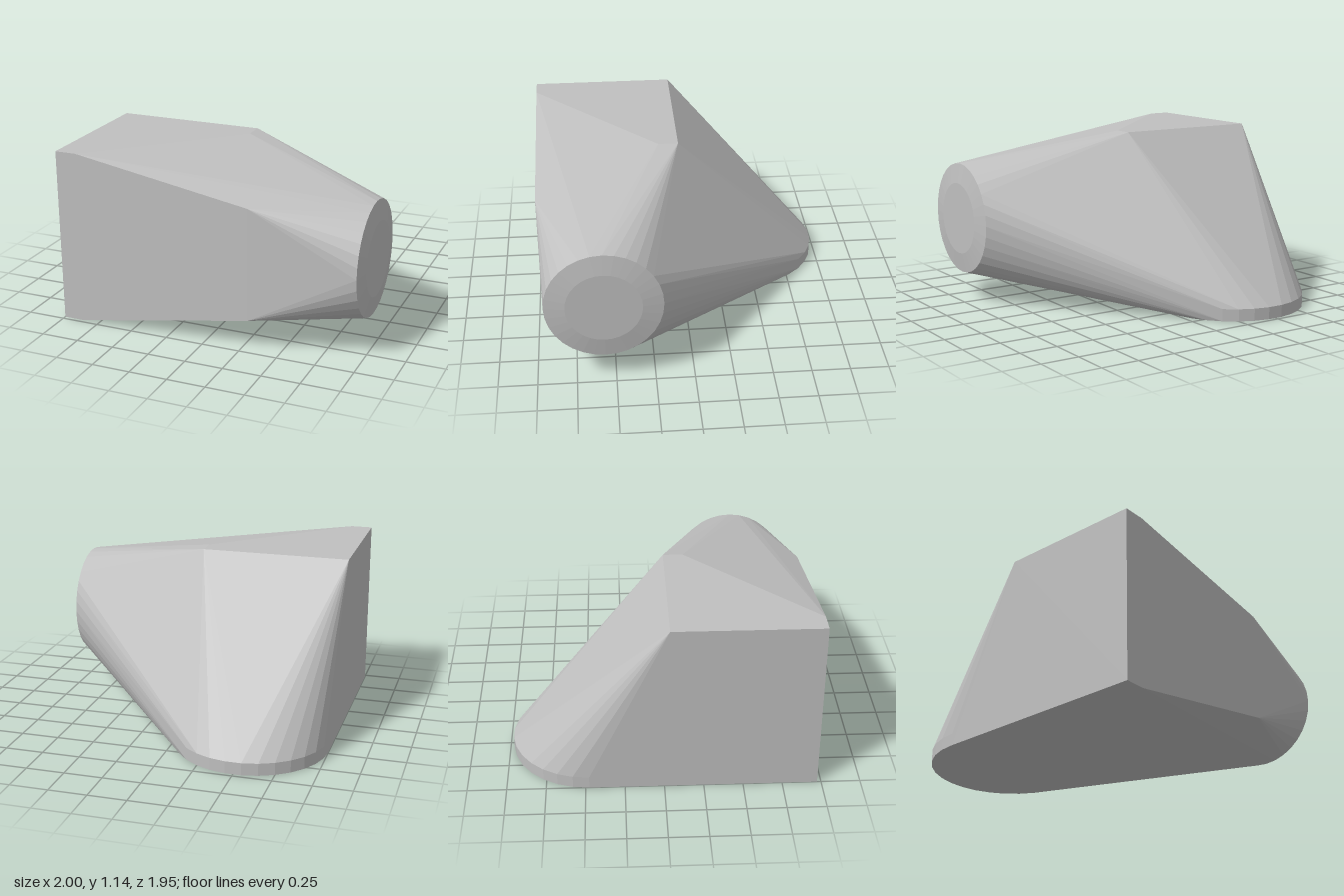
import * as THREE from 'three';
import { ConvexGeometry } from 'three/addons/geometries/ConvexGeometry.js';

const V = (x, y, z) => new THREE.Vector3(x, y, z);

// Points around a circle; place() maps the two circle coordinates into space
function ring(count, radius, place) {
  return Array.from({ length: count }, (_, i) => {
    const a = (i / count) * Math.PI * 2;
    return place(radius * Math.cos(a), radius * Math.sin(a));
  });
}

export function createModel() {
  const group = new THREE.Group();
  group.name = 'ductAdapter';
  const grey = new THREE.MeshStandardMaterial({ color: 0xbfbfbf });
  grey.name = 'grey';

  const midY = 0.57, points = [];

  // Chamfered block, mirrored about mid height
  for (const s of [-1, 1]) {
    const y = midY + s * 0.57;
    points.push(V(-1, y, 0.974), V(-0.86, y, 0.974), V(-0.02, y, 0.16));
    points.push(V(0.3, midY + s * 0.367, 0.974));
  }
  // Rear top ridge
  points.push(V(-1, 1.14, 0.03), V(-0.02, 1.14, 0.03));

  // Rounded foot plate at the back
  for (const y of [0, 0.08]) {
    points.push(...ring(30, 0.5, (a, b) => V(-0.5 + a, y, -0.477 + b)));
  }

  // Round end on the left side, with a slightly raised centre
  for (const [x, r] of [[0.98, 0.372], [1, 0.24]]) {
    points.push(...ring(32, r, (a, b) => V(x, midY + a, 0.565 + b)));
  }

  // Faceted skin stretched over the block, foot and round end
  const body = new THREE.Mesh(new ConvexGeometry(points), grey);
  body.name = 'body';
  group.add(body);
  return group;
}
